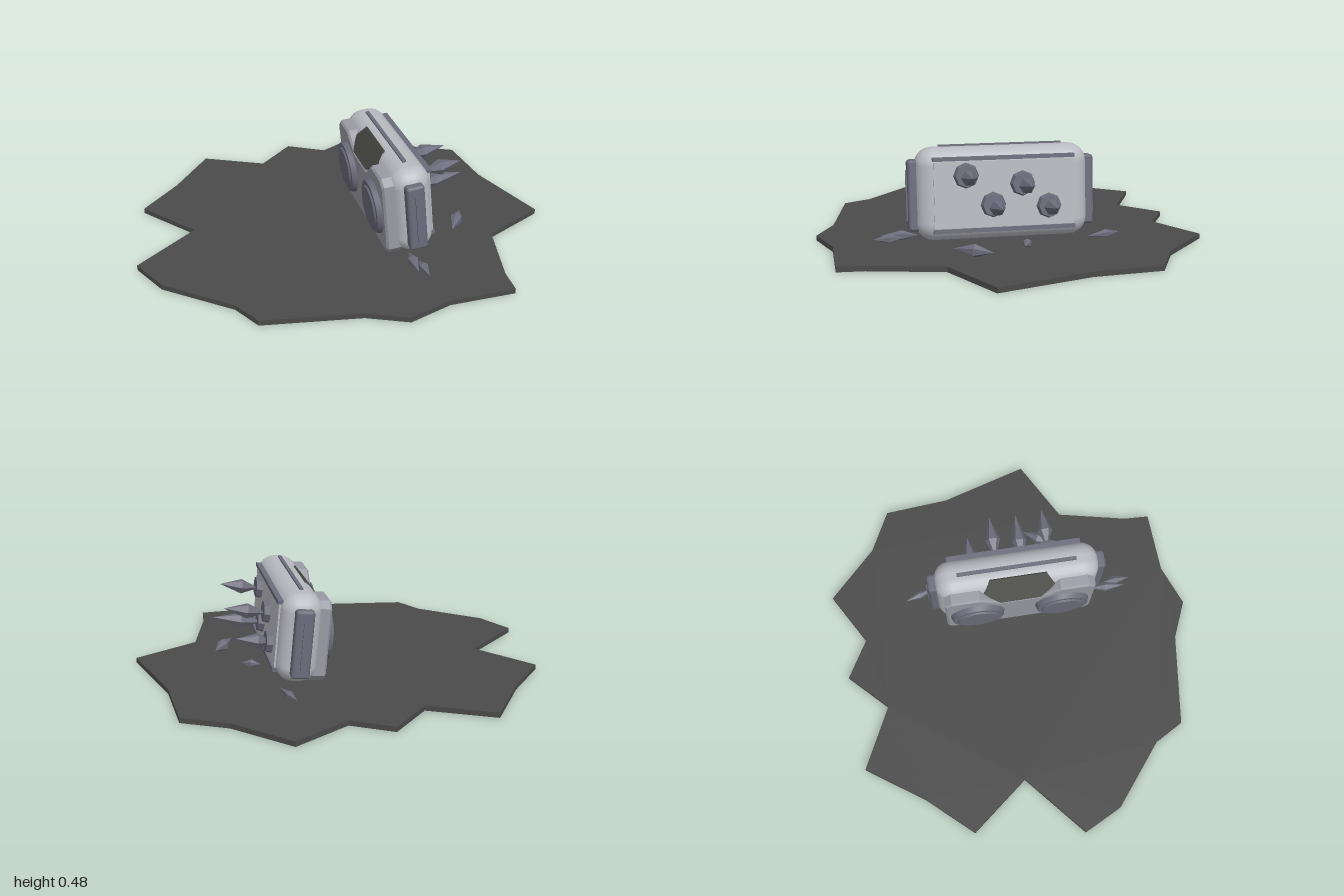
import * as THREE from 'three';
import { toCreasedNormals } from 'three/addons/utils/BufferGeometryUtils.js';
import { RoundedBoxGeometry } from 'three/addons/geometries/RoundedBoxGeometry.js';

const mat = (name, color) => {
  const m = new THREE.MeshStandardMaterial({ color });
  m.name = name;
  return m;
};

export function createModel() {
  const shell = mat('pale shell', 0xb9bac1);
  const trim = mat('slate trim', 0x6c6b7b);
  const bezel = mat('grey bezel', 0x9a9aa4);
  const glass = mat('dark glass', 0x474743);
  const stone = mat('dark ground', 0x4b4b4b);

  const root = new THREE.Group();
  root.name = 'spikedStereo';

  const add = (parent, name, geometry, material, x = 0, y = 0, z = 0) => {
    const mesh = new THREE.Mesh(geometry, material);
    mesh.name = name;
    mesh.position.set(x, y, z);
    parent.add(mesh);
    return mesh;
  };
  const flat = (geometry) => toCreasedNormals(geometry, 0.3);
  const shapeOf = (pts) => new THREE.Shape(pts.map(([x, y]) => new THREE.Vector2(x, y)));

  // Outline in (length, height), extruded towards -x
  const sidePlate = (pts, depth, bevel = 0) => {
    const g = new THREE.ExtrudeGeometry(shapeOf(pts), {
      depth, bevelEnabled: bevel > 0, bevelSize: bevel, bevelThickness: bevel,
      bevelOffset: -bevel, bevelSegments: 1,
    });
    return flat(g.rotateY(-Math.PI / 2));
  };

  // Faceted double-pointed crystal along y
  const crystal = (half, radius, sides = 6) => flat(new THREE.LatheGeometry([
    new THREE.Vector2(0, -half),
    new THREE.Vector2(radius, -half * 0.1),
    new THREE.Vector2(0, half),
  ], sides));

  // Ragged ground slab
  const outline = [
    [0.23, -0.93], [0.505, -0.733], [0.73, -0.66], [0.805, -0.34], [1, 0.075], [0.714, 0.283],
    [0.687, 0.64], [0.7, 0.765], [0.39, 0.82], [0.195, 0.925], [0, 0.87], [-0.457, 0.87],
    [-0.553, 0.743], [-0.88, 0.545], [-1, 0.37], [-0.74, 0.075], [-1, -0.17], [-0.84, -0.41],
    [-0.687, -0.717], [-0.366, -0.615], [-0.21, -0.823], [-0.008, -0.743],
  ];
  const slab = new THREE.ExtrudeGeometry(shapeOf(outline.map(([x, z]) => [x, -z])),
    { depth: 0.025, bevelEnabled: false });
  add(root, 'ground', slab.rotateX(-Math.PI / 2), stone);

  // Leaning case: local z is its length, -x its speaker side
  const box = new THREE.Group();
  box.name = 'stereo';
  box.position.set(0.235, 0.25, 0.037);
  box.rotation.set(0, 0.15, 0.1, 'YZX');
  root.add(box);

  add(box, 'case', new RoundedBoxGeometry(0.2, 0.44, 0.82, 3, 0.085), shell);
  add(box, 'backPanel', flat(new THREE.BoxGeometry(0.02, 0.31, 0.66)), shell, 0.098);
  for (const y of [0.168, -0.168]) {
    add(box, 'backStrip', new THREE.BoxGeometry(0.03, 0.018, 0.67), trim, 0.1, y);
  }
  add(box, 'topStrip', new THREE.BoxGeometry(0.018, 0.014, 0.59), trim, 0, 0.221);

  // Speaker bezel with a notch in its upper edge
  add(box, 'bezel', sidePlate([
    [-0.35, -0.21], [0.35, -0.21], [0.375, -0.18], [0.375, 0.155], [0.34, 0.187], [0.2, 0.187],
    [0.1, 0.11], [-0.1, 0.11], [-0.2, 0.187], [-0.34, 0.187], [-0.375, 0.155], [-0.375, -0.18],
  ], 0.064, 0.01), bezel, -0.065);

  // Sloping window on the shoulder above the notch
  const pane = add(box, 'window', sidePlate([
    [-0.1, 0], [0.1, 0], [0.18, 0.06], [0.14, 0.135], [-0.14, 0.135], [-0.18, 0.06],
  ], 0.009), glass, -0.135, 0.115);
  pane.rotation.z = -0.73;

  for (const side of [-1, 1]) {
    // Stepped speaker discs
    const speaker = new THREE.Group();
    speaker.name = 'speaker';
    speaker.position.set(-0.14, -0.02, side * 0.215);
    speaker.rotation.z = Math.PI / 2;
    box.add(speaker);
    const disc = (r1, r2, h) => toCreasedNormals(new THREE.CylinderGeometry(r1, r2, h, 24), 0.5);
    add(speaker, 'speakerRim', disc(0.128, 0.138, 0.03), trim, 0, 0.01);
    add(speaker, 'speakerCone', disc(0.1, 0.108, 0.01), trim, 0, 0.028);

    // End covers
    add(box, 'endCover', new RoundedBoxGeometry(0.09, 0.335, 0.07, 1, 0.015), trim, 0, -0.005, side * 0.41);
    add(box, 'endRib', new THREE.BoxGeometry(0.014, 0.24, 0.012), trim, 0, -0.005, side * 0.446);
  }

  // Studs and spikes on the back: height, length position, centre, half length
  const spikes = [
    [0.09, 0.18, 0.22, 0.1], [-0.05, 0.055, 0.235, 0.13],
    [0.045, -0.085, 0.225, 0.105], [-0.065, -0.21, 0.185, 0.095],
  ];
  for (const [y, z, x, half] of spikes) {
    const stud = add(box, 'stud', flat(new THREE.CylinderGeometry(0.052, 0.062, 0.035, 8)), trim, 0.12, y, z);
    stud.rotation.z = -Math.PI / 2;
    const spike = add(box, 'spike', crystal(half, 0.038), trim, x, y, z);
    spike.rotation.z = -Math.PI / 2 + 0.08;
  }

  // Crystals lying on the ground: x, y, z, half length, radius, heading
  const shards = [
    [0.56, 0.05, 0.17, 0.1, 0.032, -0.4], [0.28, 0.045, 0.52, 0.09, 0.026, 0.1],
    [0.32, 0.04, 0.57, 0.07, 0.024, 0.2], [0.245, 0.035, -0.46, 0.09, 0.02, 0.45],
    [0.42, 0.04, -0.08, 0.05, 0.022, 1.3],
  ];
  for (const [x, y, z, half, radius, heading] of shards) {
    const shard = add(root, 'groundCrystal', crystal(half, radius), trim, x, y, z);
    shard.rotation.set(Math.PI / 2, heading, 0, 'YXZ');
  }

  return root;
}
